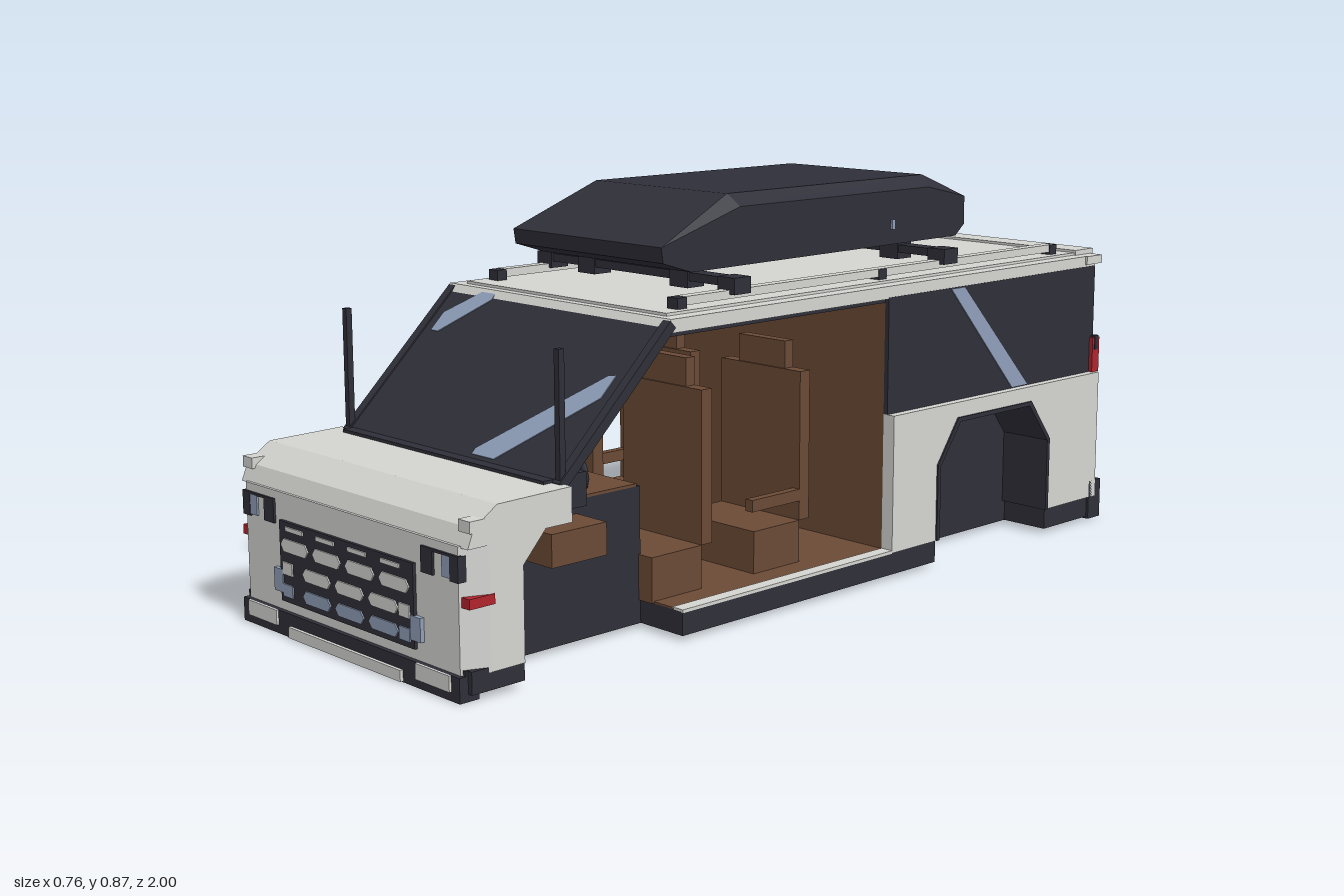
import * as THREE from 'three';
import { ConvexGeometry } from 'three/addons/geometries/ConvexGeometry.js';

const mat = (name, color) => Object.assign(new THREE.MeshStandardMaterial({ color }), { name });

export function createModel() {
  const light = mat('bodyPaint', 0xd4d4d1);
  const dark = mat('darkTrim', 0x2f2f39);
  const brown = mat('interiorBrown', 0x6b4a36);
  const blue = mat('glassGlint', 0x8f9fb9);
  const red = mat('lampRed', 0xb0242d);
  const model = new THREE.Group();
  model.name = 'van';

  const add = (name, geo, m, parent = model) => {
    const mesh = new THREE.Mesh(geo, m);
    mesh.name = name;
    parent.add(mesh);
    return mesh;
  };
  // box from its limits
  const box = (name, m, x0, x1, y0, y1, z0, z1) => add(name,
    new THREE.BoxGeometry(x1 - x0, y1 - y0, z1 - z0)
      .translate((x0 + x1) / 2, (y0 + y1) / 2, (z0 + z1) / 2), m);
  const pair = (name, m, x0, x1, ...r) => {
    box(name + 'Left', m, x0, x1, ...r);
    box(name + 'Right', m, -x1, -x0, ...r);
  };
  const extrude = (pts, depth) => new THREE.ExtrudeGeometry(
    new THREE.Shape(pts.map(p => new THREE.Vector2(...p))), { depth, bevelEnabled: false });
  // side profile of [z, y] points, spanning x0 to x1
  const profile = (name, m, pts, x0, x1) =>
    add(name, extrude(pts, x1 - x0).rotateY(-Math.PI / 2).translate(x1, 0, 0), m);
  const profilePair = (name, m, pts, x0, x1) => {
    profile(name + 'Left', m, pts, x0, x1);
    profile(name + 'Right', m, pts, -x1, -x0);
  };
  // plan outline of [x, z] points, spanning y0 to y1
  const plan = (name, m, half, y0, y1) => {
    const pts = [...half, ...half.map(([x, z]) => [-x, z]).reverse()];
    return add(name, extrude(pts, y1 - y0).rotateX(Math.PI / 2).translate(0, y1, 0), m);
  };

  // floor pan with wheel notches
  plan('floorPan', dark, [[.365, .97], [.365, .84], [.25, .84], [.25, .43], [.375, .43], [.375, -.36],
    [.25, -.36], [.25, -.775], [.37, -.775], [.37, -.97]], .01, .06);
  box('cabinFloor', brown, -.35, .35, .06, .064, -.21, .43);
  pair('sillPlate', light, .345, .376, .058, .065, -.21, .43);

  // nose and bonnet
  plan('nose', light, [[.355, .975], [.378, .92], [.378, .84]], .05, .296);
  profile('bonnet', light, [[.72, .37], [.9, .367], [.955, .33], [.97, .293], [.85, .293], [.85, .24],
    [.84, .24], [.785, .30], [.72, .30]], -.378, .378);
  pair('bonnetCatch', light, .345, .379, .322, .345, .93, .965);
  box('cowl', dark, -.33, .33, .355, .376, .715, .75);

  // front bumper
  box('frontBumper', dark, -.365, .365, 0, .05, .94, .985);
  box('bumperCentre', light, -.19, .19, .002, .025, .985, .992);
  pair('bumperLamp', light, .235, .34, .018, .05, .985, .99);
  pair('bumperEnd', dark, .34, .376, .015, .06, .84, .965);

  // grille with staggered slots
  box('grille', dark, -.225, .225, .072, .24, .975, .982);
  [[.178, .205, -.17, 4, light], [.13, .156, -.095, 3, light], [.084, .11, -.095, 3, blue]]
    .forEach(([y0, y1, x, n, m], row) => {
      for (let i = 0; i < n; i++) {
        const c = x + i * .112, ym = (y0 + y1) / 2;
        add('grilleSlot', extrude([[c - .048, ym], [c - .038, y0], [c + .038, y0], [c + .048, ym],
          [c + .038, y1], [c - .038, y1]], .003).translate(0, 0, .982), m);
      }
      if (row) pair('grilleSlotEnd', m, .18, .214, y0, y1, .982, .985);
    });
  for (let i = 0; i < 4; i++) box('grilleNotch', light, -.2 + i * .108, -.14 + i * .108, .222, .231, .982, .985);
  pair('fogLamp', blue, .215, .247, .09, .138, .974, .984);

  // headlamps and side markers
  pair('headlampOuter', dark, .335, .361, .228, .278, .95, .98);
  pair('headlampGlass', blue, .31, .335, .232, .278, .97, .979);
  pair('headlampInner', dark, .247, .283, .228, .278, .97, .98);
  pair('headlampBrow', dark, .247, .361, .274, .279, .97, .98);
  profilePair('frontMarker', red, [[.97, .18], [.97, .2], [.91, .2], [.91, .18]], .355, .38);

  // front wheel housings, bulkhead and dash
  profile('engineBay', dark, [[.84, .06], [.84, .24], [.785, .30], [.43, .30], [.43, .06]], -.25, .25);
  box('bulkhead', dark, -.27, .27, .29, .36, .59, .72);
  pair('dashEnd', brown, .25, .34, .205, .272, .6, .74);
  box('dashShelf', brown, -.25, .25, .3, .306, .44, .59);
  box('dashCluster', dark, .08, .24, .36, .41, .605, .615);
  const wheel = add('steeringWheel', new THREE.TorusGeometry(.05, .007, 6, 12), dark);
  wheel.position.set(.16, .325, .54);
  box('steeringColumn', dark, .152, .168, .315, .33, .54, .6);

  // seats: base, back, headrest
  for (const s of [-1, 1]) {
    const seat = (name, z) => {
      const c = s * .17;
      box(name + 'Base', brown, c - .12, c + .12, .06, .157, z, z + .14);
      box(name + 'Back', brown, c - .12, c + .12, .157, .485, z - .03, z);
      box(name + 'Headrest', brown, c - .07, c + .07, .485, .545, z - .03, z - .004);
    };
    seat('frontSeat', .295);
    seat('rearSeat', 0);
  }
  pair('rearArmrest', brown, .27, .29, .2, .226, 0, .145);
  box('cargoPartition', brown, -.345, .345, .06, .62, -.225, -.212);

  // windscreen, tilted as one group
  const screen = new THREE.Group();
  screen.name = 'windscreen';
  screen.position.set(0, .37, .73);
  screen.rotation.x = -Math.atan2(.29, .28);
  model.add(screen);
  const L = .403, k = L / .28;
  const pane = (name, m, pts, back, depth) =>
    add(name, extrude(pts.map(([x, y]) => [x, (y - .37) * k]), depth).translate(0, 0, back), m, screen);
  pane('screenGlass', dark, [[-.335, .37], [.335, .37], [.335, .65], [-.335, .65]], -.012, .012);
  pane('screenGlint', blue, [[-.31, .565], [-.285, .565], [-.19, .635], [-.19, .647], [-.235, .647], [-.31, .6]], -.014, .016);
  pane('screenGlint', blue, [[.07, .382], [.14, .382], [.31, .51], [.31, .55], [.29, .547], [.07, .392]], -.014, .016);
  for (const s of [-1, 1])
    pane('windscreenPillar', dark, [[s * .345 - .011, .37], [s * .345 + .011, .37], [s * .345 + .011, .65], [s * .345 - .011, .65]], -.018, .021);
  pair('cowlPole', dark, .338, .352, .36, .63, .713, .727);

  // roof
  profile('roof', light, [[.44, .655], [-.97, .655], [-.97, .627], [.46, .627]], -.355, .355);
  box('headliner', dark, -.345, .345, .618, .628, -.96, .44);
  box('roofCrown', light, -.32, .32, .654, .661, -.93, .42);
  box('rearSpoiler', light, -.325, .325, .64, .667, -1, -.93);
  pair('spoilerEnd', light, .325, .36, .635, .655, -.99, -.93);
  pair('roofRail', light, .275, .3, .667, .685, -.87, .35);
  for (const z of [.36, -.25, -.87]) pair('railFoot', dark, .272, .302, .655, .684, z - .013, z + .013);

  // rear quarter: panel with arch opening, window and glint
  const arch = [[-.775, .06], [-.775, .235], [-.7, .335], [-.43, .335], [-.36, .235], [-.36, .06]];
  profilePair('quarterPanel', light, [[-.21, .06], [-.21, .37], [-.97, .37], [-.97, .06], ...arch], .345, .376);
  const inner = [[-.37, .06], [-.37, .232], [-.437, .325], [-.693, .325], [-.765, .232], [-.765, .06]];
  profilePair('archLining', dark, [...arch, ...inner], .25, .38);
  profilePair('wheelHousing', dark, arch, .24, .25);
  pair('housingHatch', brown, .25, .275, .15, .235, -.4, -.37);
  profilePair('quarterWindow', dark, [[-.21, .37], [-.21, .63], [-.965, .63], [-.965, .37]], .345, .356);
  profilePair('windowGlint', blue, [[-.42, .628], [-.468, .628], [-.71, .372], [-.65, .372]], .35, .359);

  // tail
  box('tailgate', light, -.372, .372, .09, .37, -.972, -.955);
  box('tailgateHandle', dark, -.1, .1, .225, .275, -.978, -.97);
  box('tailBand', dark, -.356, .356, .36, .46, -.97, -.955);
  box('tailStrip', red, -.25, .25, .4, .45, -.977, -.968);
  pair('tailLamp', red, .24, .366, .37, .455, -.982, -.955);
  pair('tailLampTrim', dark, .355, .368, .425, .46, -.975, -.962);
  box('rearWindow', dark, -.355, .355, .45, .63, -.97, -.955);
  box('wiper', dark, -.12, .12, .49, .502, -.98, -.97);
  box('highBrakeLamp', red, -.07, .07, .645, .66, -1.003, -.999);
  box('rearBumper', dark, -.376, .376, .005, .1, -.992, -.945);
  pair('rearReflector', red, .29, .335, .045, .07, -.996, -.991);

  // roof rack
  for (const z of [.2, -.47]) {
    box('rackBar', dark, -.31, .31, .691, .709, z - .02, z + .02);
    pair('rackClamp', dark, .265, .314, .676, .711, z - .024, z + .024);
    pair('boxMount', dark, .12, .175, .676, .727, z - .024, z + .024);
  }

  // roof box
  const hull = [];
  for (const s of [-1, 1]) {
    [[.13, .845], [-.48, .845], [-.61, .815], [-.61, .75], [-.58, .725], [.27, .72], [.35, .745], [.355, .778]]
      .forEach(([z, y]) => hull.push(new THREE.Vector3(s * .236, y, z)));
    [[.14, .871], [-.49, .871]].forEach(([z, y]) => hull.push(new THREE.Vector3(s * .207, y, z)));
  }
  add('roofBox', new ConvexGeometry(hull), dark);
  pair('roofBoxLatch', blue, .235, .241, .758, .78, -.36, -.35);

  return model;
}
